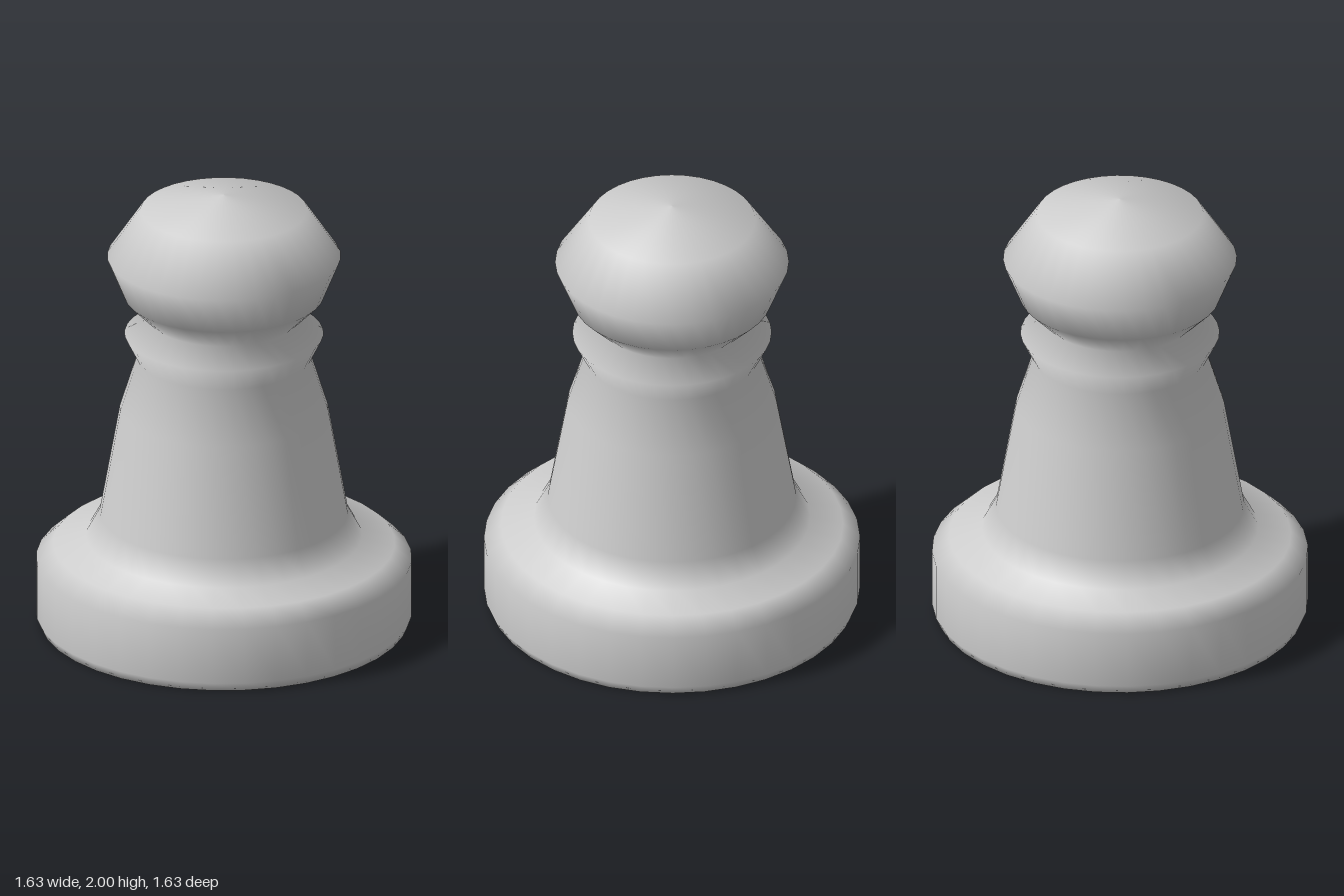
import * as THREE from 'three';

export function createModel() {
  const group = new THREE.Group();
  group.name = 'chessPawn';

  // Half profile as [radius, height], from the underside up to the crown
  const profile = [
    // base
    [0, 0], [0.8, 0], [0.817, 0.04], [0.817, 0.295], [0.743, 0.363],
    // foot and tapering stem
    [0.6, 0.4], [0.54, 0.51], [0.453, 1.0], [0.378, 1.24],
    // collar and neck
    [0.433, 1.35], [0.325, 1.422],
    // head
    [0.435, 1.533], [0.508, 1.713], [0.362, 1.93], [0, 2],
  ].map(([r, y]) => new THREE.Vector2(r, y));

  // One continuous turned body, smooth all round
  const pawn = new THREE.Mesh(
    new THREE.LatheGeometry(profile, 36),
    new THREE.MeshStandardMaterial({ color: 0xcccccc })
  );
  pawn.name = 'turnedBody';
  group.add(pawn);

  return group;
}
